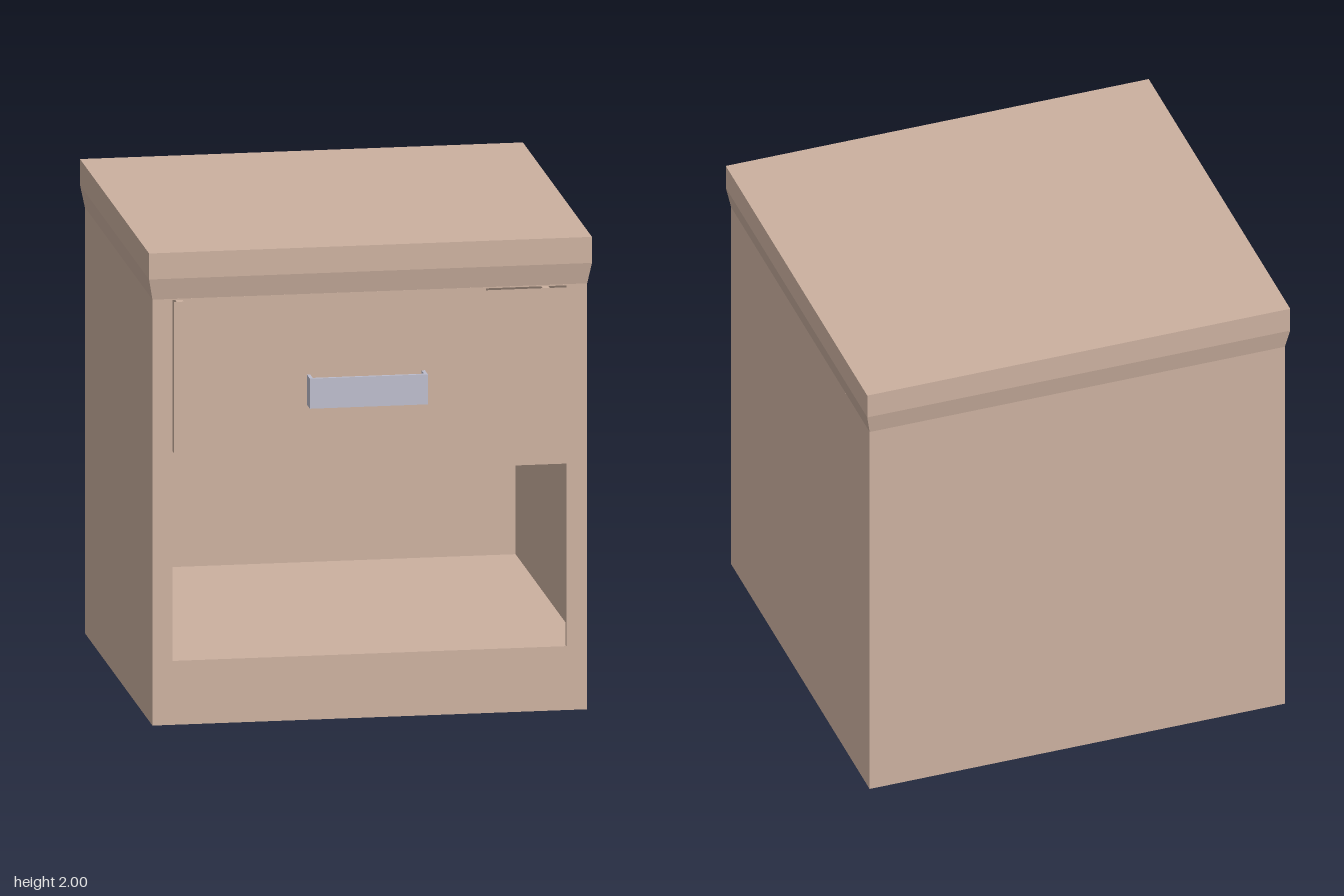
import * as THREE from 'three';

export function createModel() {
  const model = new THREE.Group();
  model.name = 'nightstand';

  const wood = new THREE.MeshStandardMaterial({ color: 0xcbb09f });
  wood.name = 'pale wood';
  const metal = new THREE.MeshStandardMaterial({ color: 0xbcbccc });
  metal.name = 'grey metal';

  const add = (parent, name, geometry, material) => {
    const mesh = new THREE.Mesh(geometry, material);
    mesh.name = name;
    parent.add(mesh);
    return mesh;
  };

  // Box given by its lower and upper limits on each axis
  const boxGeometry = ([x0, x1], [y0, y1], [z0, z1]) =>
    new THREE.BoxGeometry(x1 - x0, y1 - y0, z1 - z0)
      .translate((x0 + x1) / 2, (y0 + y1) / 2, (z0 + z1) / 2);
  const addBox = (parent, name, x, y, z, material = wood) =>
    add(parent, name, boxGeometry(x, y, z), material);

  // Pull in the corners on the low side of one axis to make a sloped edge
  const taper = (geometry, axis, insets) => {
    geometry.computeBoundingBox();
    const c = geometry.boundingBox.getCenter(new THREE.Vector3());
    const p = geometry.attributes.position;
    const v = new THREE.Vector3();
    for (let i = 0; i < p.count; i++) {
      v.fromBufferAttribute(p, i);
      if (v[axis] < c[axis]) {
        for (const k in insets) v[k] -= Math.sign(v[k] - c[k]) * insets[k];
      }
      p.setXYZ(i, v.x, v.y, v.z);
    }
    geometry.computeVertexNormals();
    return geometry;
  };

  // Cabinet: thin side walls, solid plinth, back and ceiling
  const W = 0.907, FRONT = 0.805, BACK = -0.896, FACE = 0.785, WALL = 0.02;
  const cabinet = new THREE.Group();
  cabinet.name = 'cabinet';
  model.add(cabinet);
  addBox(cabinet, 'plinth', [-W, W], [0, 0.27], [BACK, FACE]);
  addBox(cabinet, 'backPanel', [-W, W], [0.27, 1.8], [BACK, BACK + WALL]);
  for (const [name, s] of [['leftWall', 1], ['rightWall', -1]]) {
    const x = [s * W, s * (W - WALL)].sort((a, b) => a - b);
    addBox(cabinet, name, x, [0.27, 1.8], [BACK + WALL, FACE]);
  }

  // Front frame around the opening
  const rect = (shape, x0, x1, y0, y1) =>
    shape.moveTo(x0, y0).lineTo(x1, y0).lineTo(x1, y1).lineTo(x0, y1).closePath();
  const frame = rect(new THREE.Shape(), -W, W, 0, 1.8);
  frame.holes.push(rect(new THREE.Path(), -0.823, 0.82, 0.27, 1.795));
  const frameGeometry = new THREE.ExtrudeGeometry(frame, { depth: FRONT - FACE, bevelEnabled: false });
  add(cabinet, 'frontFrame', frameGeometry.translate(0, 0, FACE), wood);

  // Top slab with a flared moulding under it
  const TX = [-0.924, 0.924], TZ = [-0.915, 0.823];
  addBox(model, 'topSlab', TX, [1.89, 2], TZ);
  add(model, 'topMoulding',
    taper(boxGeometry(TX, [1.8, 1.89], TZ), 'y', { x: 0.017, z: 0.0185 }), wood);

  // Drawer: front with edges sloping inward, and an open box behind it
  const drawer = new THREE.Group();
  drawer.name = 'drawer';
  model.add(drawer);
  add(drawer, 'drawerFront',
    taper(boxGeometry([-0.823, 0.82], [1.05, 1.795], [FRONT, 0.84]), 'z', { x: 0.043, y: 0.043 }), wood);
  const DB = -0.8, D0 = 1.095, D1 = 1.75;
  addBox(drawer, 'drawerBottom', [-0.78, 0.777], [D0, D0 + 0.03], [DB, FRONT]);
  addBox(drawer, 'drawerRightSide', [-0.78, -0.75], [D0 + 0.03, D1], [DB, FRONT]);
  addBox(drawer, 'drawerLeftSide', [0.747, 0.777], [D0 + 0.03, D1], [DB, FRONT]);
  addBox(drawer, 'drawerBack', [-0.75, 0.747], [D0 + 0.03, D1], [DB, DB + 0.03]);

  // Handle: a flat band bent into a U
  const handle = new THREE.Group();
  handle.name = 'handle';
  drawer.add(handle);
  const HY = [1.34, 1.467], T = 0.014;
  addBox(handle, 'handleGrip', [-0.268, 0.224], HY, [0.915 - T, 0.915], metal);
  addBox(handle, 'handleRightEnd', [-0.268, -0.268 + T], HY, [0.84, 0.915 - T], metal);
  addBox(handle, 'handleLeftEnd', [0.224 - T, 0.224], HY, [0.84, 0.915 - T], metal);

  return model;
}
